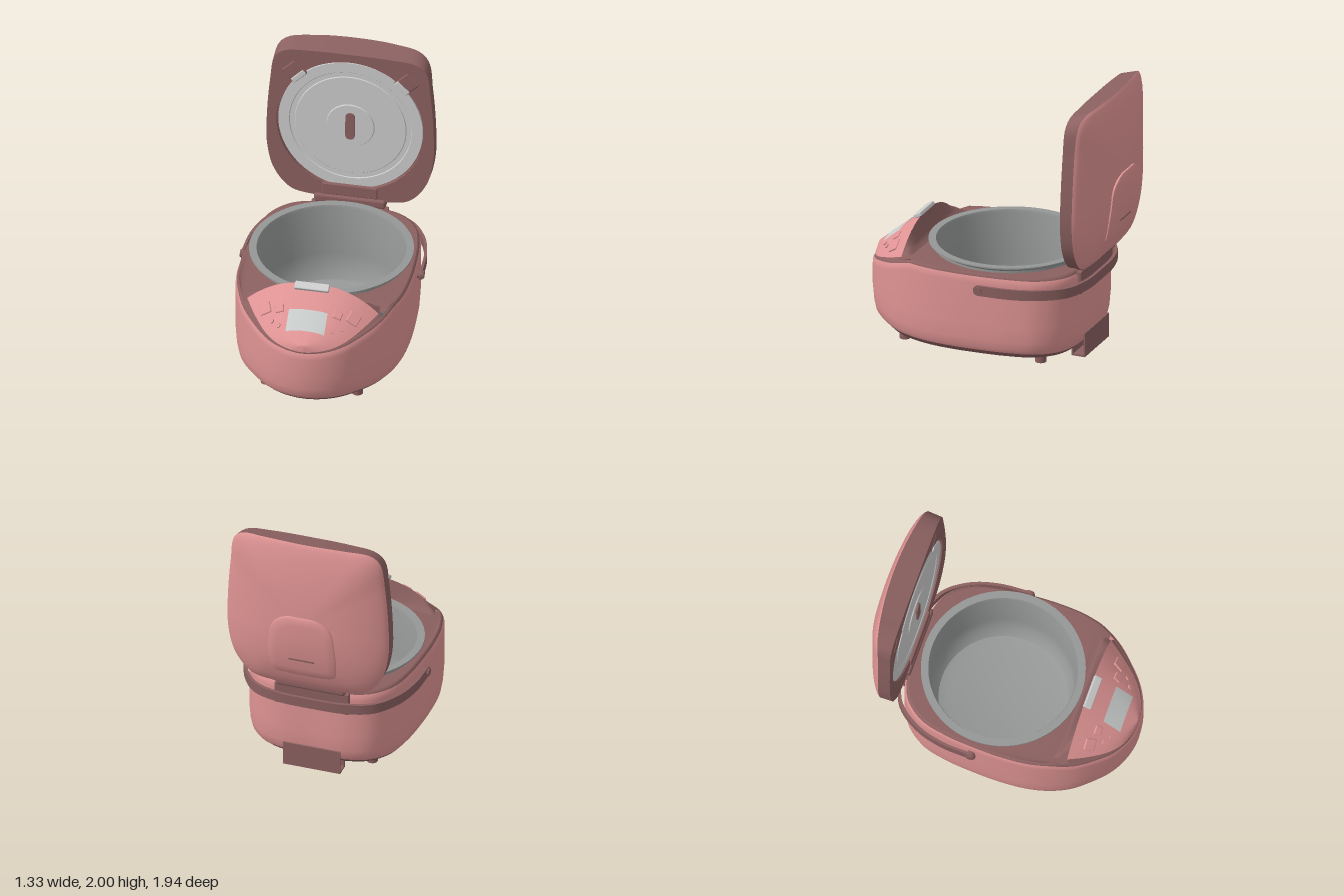
import * as THREE from 'three';
import { toCreasedNormals } from 'three/addons/utils/BufferGeometryUtils.js';
import { RoundedBoxGeometry } from 'three/addons/geometries/RoundedBoxGeometry.js';

const V = (x, y, z) => new THREE.Vector3(x, y, z);
const clamp = THREE.MathUtils.clamp;

function material(name, color) {
  const m = new THREE.MeshStandardMaterial({ color, side: THREE.DoubleSide });
  m.name = name;
  return m;
}

function add(parent, name, geo, mat, x = 0, y = 0, z = 0) {
  const mesh = new THREE.Mesh(geo, mat);
  mesh.name = name;
  mesh.position.set(x, y, z);
  parent.add(mesh);
  return mesh;
}

// Skin between successive rows of points
function loft(rows, closed = false) {
  const n = rows[0].length, index = [];
  const geo = new THREE.BufferGeometry().setFromPoints(rows.flat());
  for (let r = 0; r < rows.length - 1; r++) {
    for (let i = 0; i < (closed ? n : n - 1); i++) {
      const j = (i + 1) % n, a = r * n + i, b = r * n + j;
      index.push(a, b, a + n, b, b + n, a + n);
    }
  }
  geo.setIndex(index);
  geo.computeVertexNormals();
  return geo;
}

// Closed symmetric outline from half of its points, starting on the centre line
function mirrored(half, count) {
  const pts = half.map(([x, y]) => V(x, y, 0));
  const other = half.slice(1, -1).reverse().map(([x, y]) => V(-x, y, 0));
  return new THREE.CatmullRomCurve3([...pts, ...other], true).getSpacedPoints(count).slice(0, count);
}

const N = 120;
const bodyOutline = mirrored([[0, -0.705], [0.25, -0.7], [0.42, -0.64], [0.54, -0.5], [0.595, -0.3], [0.62, -0.05],
  [0.625, 0.15], [0.61, 0.35], [0.565, 0.52], [0.5, 0.65], [0.4, 0.77], [0.28, 0.88], [0.15, 0.945], [0, 0.97]], N);
const topY = z => 0.68 - 0.17 * clamp((z - 0.5) / 0.47, 0, 1);
// Body outline scaled about its middle, at a height given as a rule of z
const bodyRing = (s, height) => bodyOutline.map(p => V(p.x * s, height(p.y), 0.1 + (p.y - 0.1) * s));

// Control panel: edge points run from its back corner to the front tip
const half = bodyOutline.slice(0, N / 2 + 1);
const first = half.findIndex(p => p.y > 0.62);
const panelEdge = half.slice(first).map(p => {
  const f = clamp((0.97 - p.y) / 0.3, 0, 1), s = 0.985 - 0.06 * f;
  return V(p.x * s, topY(p.y) + 0.01 + 0.03 * f, 0.1 + (p.y - 0.1) * s);
});
const panelBack = panelEdge[0].z;
function panelAt(x, z, edge, lift = 0) {
  if (!edge) {
    const i = clamp(panelEdge.findIndex(p => p.z > z), 1, panelEdge.length - 1);
    const a = panelEdge[i - 1], b = panelEdge[i];
    edge = a.clone().lerp(b, (z - a.z) / (b.z - a.z));
  }
  const mid = 0.865 - 0.285 * (z - panelBack) / (0.945 - panelBack);
  const u = edge.x > 0.001 ? Math.min(1, Math.abs(x) / edge.x) : 1;
  return V(x, edge.y + Math.max(0, mid - edge.y) * (1 - u ** 2.4) + lift, z);
}
const span = (n, f) => Array.from({ length: n + 1 }, (_, i) => f(i / n));

// Lid, in its own frame: y up from the hinge, open face at z = 0
const lidOutline = mirrored([[0, 1.215], [0.3, 1.21], [0.48, 1.19], [0.55, 1.13], [0.58, 0.95], [0.605, 0.6],
  [0.6, 0.38], [0.55, 0.185], [0.43, 0.04], [0.27, 0.005], [0, 0]], N);
const lidMid = 0.615;
const lidRim = lidOutline.map(p => {
  const t = THREE.MathUtils.smoothstep(p.y, 0.95, 1.2);
  return V(p.x, p.y + 0.04 * t, -0.09 - 0.08 * t * (1 - (p.x / 0.61) ** 2));
});
const domeBlend = a => Math.max(0, 1 - a * a) ** 0.7;
const domeZ = (x, y) => {
  const w = domeBlend(Math.cbrt(Math.abs(x / 0.6) ** 3 + Math.abs((y - lidMid) / 0.62) ** 3));
  return -0.09 * (1 - w) - 0.255 * w;
};

export function createModel() {
  const model = new THREE.Group();
  model.name = 'riceCooker';
  const pink = material('pink shell', 0xe09494);
  const dark = material('dark rose trim', 0x8b6060);
  const silver = material('light grey', 0xcccccc);
  const steel = material('pot grey', 0x959797);
  const glass = material('display grey', 0xc8cccb);

  // Body shell, base and rim
  const fixed = y => () => y;
  add(model, 'bodyShell', loft([
    bodyRing(0.945, fixed(0.11)), bodyRing(0.97, fixed(0.14)), bodyRing(0.987, fixed(0.2)), bodyRing(1, fixed(0.32)),
    bodyRing(1, z => topY(z) - 0.05), bodyRing(0.997, z => topY(z) - 0.02), bodyRing(0.985, topY)], true), pink);
  add(model, 'base', loft([
    bodyRing(0.945, fixed(0.11)), bodyRing(0.9, fixed(0.075)), bodyRing(0.82, fixed(0.055)),
    bodyRing(0.7, fixed(0.05)), bodyRing(0, fixed(0.05))], true), dark);
  add(model, 'rim', loft([bodyRing(0.985, topY), bodyRing(0.978, z => topY(z) + 0.014),
    bodyRing(0.96, z => topY(z) + 0.02)], true), dark);

  // Deck around the pot
  const deckShape = new THREE.Shape(bodyRing(0.96, fixed(0)).filter(p => p.z < 0.6).map(p => new THREE.Vector2(p.x, -p.z)));
  deckShape.holes.push(new THREE.Path().absarc(0, 0.055, 0.55, 0, Math.PI * 2, true));
  const deck = new THREE.ShapeGeometry(deckShape, 32).rotateX(-Math.PI / 2);
  const dp = deck.attributes.position;
  for (let i = 0; i < dp.count; i++) dp.setY(i, topY(dp.getZ(i)) + 0.02);
  deck.computeVertexNormals();
  add(model, 'deck', deck, dark);

  // Inner pot
  const potProfile = [[0, 0.14], [0.4, 0.14], [0.46, 0.16], [0.5, 0.22], [0.52, 0.35], [0.525, 0.73], [0.532, 0.75],
    [0.585, 0.75], [0.585, 0.74], [0.545, 0.715], [0.545, 0.65]].map(p => new THREE.Vector2(...p));
  add(model, 'innerPot', toCreasedNormals(new THREE.LatheGeometry(potProfile, 72), 0.6), steel, 0, 0, -0.055);

  // Control panel, its skirt and back wall
  const panelRows = panelEdge.map(e => span(32, t => panelAt((2 * t - 1) * e.x, e.z, e)));
  add(model, 'controlPanel', loft(panelRows), pink);
  const outer = bodyRing(0.985, topY).slice(first, N / 2 + 1);
  const flip = p => V(-p.x, p.y, p.z);
  add(model, 'panelSkirtLeft', loft([outer, panelEdge]), dark);
  add(model, 'panelSkirtRight', loft([outer.map(flip), panelEdge.map(flip)]), dark);
  add(model, 'panelBackWall', loft([
    panelRows[0],
    panelRows[0].map(p => V(p.x * 1.02, Math.min(p.y, 0.73), p.z - 0.035)),
    panelRows[0].map(p => V(p.x * 1.04, Math.min(p.y, 0.7), p.z - 0.055)),
    panelRows[0].map(p => V(p.x * 1.06, 0.675, p.z - 0.1))]), dark);

  // Display and buttons follow the panel surface
  add(model, 'display', loft(span(6, v => span(10, u =>
    panelAt(-0.14 + 0.28 * u, 0.745 + 0.125 * v, null, 0.006)))), glass);
  const placeOnPanel = (name, geo, x, z) => {
    const dx = panelAt(x + 0.01, z).sub(panelAt(x - 0.01, z));
    const dz = panelAt(x, z + 0.01).sub(panelAt(x, z - 0.01));
    const p = panelAt(x, z);
    const normal = dz.clone().cross(dx).normalize();
    const mesh = add(model, name, geo, pink, p.x, p.y, p.z);
    dx.normalize();
    mesh.quaternion.setFromRotationMatrix(new THREE.Matrix4().makeBasis(dx, normal, dx.clone().cross(normal)));
  };
  for (const s of [1, -1]) {
    placeOnPanel('largeButton', new RoundedBoxGeometry(0.09, 0.02, 0.085, 2, 0.008), s * 0.32, 0.705);
    placeOnPanel('smallButton', new RoundedBoxGeometry(0.065, 0.02, 0.06, 2, 0.008), s * 0.21, 0.73);
    placeOnPanel('roundButton', new THREE.CylinderGeometry(0.017, 0.018, 0.02, 20), s * 0.2, 0.825);
    placeOnPanel('roundButton', new THREE.CylinderGeometry(0.017, 0.018, 0.02, 20), s * 0.255, 0.79);
  }
  const latch = add(model, 'latch', new RoundedBoxGeometry(0.25, 0.03, 0.06, 2, 0.008), silver, 0, 0.855, 0.615);
  latch.rotation.x = 0.5;

  // Lid
  const lid = new THREE.Group();
  lid.name = 'lid';
  lid.position.set(0, 0.745, -0.685);
  lid.rotation.x = -0.02;
  model.add(lid);
  const face = new THREE.Shape(lidOutline.map(p => new THREE.Vector2(p.x, p.y)));
  face.holes.push(new THREE.Path().absarc(0, lidMid, 0.535, 0, Math.PI * 2, true));
  add(lid, 'lidFace', new THREE.ShapeGeometry(face, 40), dark);
  add(lid, 'lidEdge', loft([lidOutline, lidRim], true), dark);
  add(lid, 'lidDome', loft([1, 0.985, 0.96, 0.92, 0.86, 0.78, 0.68, 0.55, 0.4, 0.2, 0].map(a => lidRim.map(p => {
    const w = domeBlend(a);
    return V(p.x * a, lidMid + (p.y - lidMid) * a, p.z * (1 - w) - 0.255 * w);
  })), true), pink);
  const recess = [[0.535, 0.03], [0.535, 0], [0, 0]].map(p => new THREE.Vector2(...p));
  add(lid, 'lidRecess', toCreasedNormals(new THREE.LatheGeometry(recess, 72).rotateX(Math.PI / 2), 0.6), dark, 0, lidMid, -0.03);

  // Inner lid plate with stepped rings
  const plate = [[0.523, 0], [0.523, 0.018], [0.445, 0.018], [0.44, 0.012], [0.405, 0.012], [0.4, 0.018],
    [0.175, 0.018], [0.17, 0.026], [0, 0.026]].map(p => new THREE.Vector2(...p));
  add(lid, 'innerPlate', toCreasedNormals(new THREE.LatheGeometry(plate, 72).rotateX(Math.PI / 2), 0.4), silver, 0, lidMid, -0.028);
  const slot = new THREE.Shape();
  slot.absarc(0, 0.075, 0.034, 0, Math.PI, false);
  slot.absarc(0, -0.075, 0.034, Math.PI, Math.PI * 2, false);
  add(lid, 'steamValve', new THREE.ExtrudeGeometry(slot, { depth: 0.016, bevelEnabled: false }), dark, 0, lidMid, -0.006);
  add(lid, 'plateMount', new RoundedBoxGeometry(0.4, 0.09, 0.04, 2, 0.008), dark, 0, 0.07, -0.006);
  for (const s of [1, -1]) {
    const tab = new THREE.Group();
    tab.name = 'plateCatch';
    tab.position.set(0, lidMid, 0);
    tab.rotation.z = -s * Math.PI / 4;
    add(tab, 'catchHousing', new RoundedBoxGeometry(0.13, 0.14, 0.03, 2, 0.012), dark, 0, 0.575, -0.008);
    add(tab, 'catchClip', new RoundedBoxGeometry(0.12, 0.04, 0.03, 2, 0.006), silver, 0, 0.53, 0);
    lid.add(tab);
  }

  // Steam vent cover on the back of the lid
  const cover = mirrored([[0, 0.685], [0.12, 0.675], [0.215, 0.6], [0.245, 0.45], [0.25, 0.28], [0.23, 0.185],
    [0.12, 0.167], [0, 0.165]], 64);
  add(lid, 'ventCover', toCreasedNormals(loft([[1, 0.02], [1, -0.012], [0.96, -0.018], [0.75, -0.018], [0.5, -0.018],
    [0.25, -0.018], [0, -0.018]].map(([s, lift]) => cover.map(p => {
    const x = p.x * s, y = 0.425 + (p.y - 0.425) * s;
    return V(x, y, domeZ(x, y) + lift);
  })), true), 0.6), pink);
  add(lid, 'ventSlot', new THREE.BoxGeometry(0.19, 0.012, 0.014), dark, 0, 0.32, domeZ(0, 0.32) - 0.016);

  // Hinge
  add(model, 'hinge', new RoundedBoxGeometry(0.52, 0.07, 0.09, 3, 0.02), dark, 0, 0.73, -0.71);
  add(model, 'hingeCover', new RoundedBoxGeometry(0.56, 0.17, 0.04, 2, 0.01), dark, 0, 0.61, -0.7);

  // Carrying handle
  const arc = new THREE.CatmullRomCurve3([[0.645, -0.08], [0.63, -0.3], [0.57, -0.5], [0.44, -0.67], [0.25, -0.738],
    [0, -0.75], [-0.25, -0.738], [-0.44, -0.67], [-0.57, -0.5], [-0.63, -0.3], [-0.645, -0.08]].map(([x, z]) => V(x, -z, 0))).getPoints(60);
  const bar = new THREE.Shape([...arc.map(p => new THREE.Vector2(p.x * 1.015, p.y * 1.015)),
    ...arc.slice().reverse().map(p => new THREE.Vector2(p.x * 0.985, p.y * 0.985))]);
  add(model, 'handle', toCreasedNormals(new THREE.ExtrudeGeometry(bar, { depth: 0.075, bevelEnabled: false })
    .rotateX(-Math.PI / 2), 0.5), dark, 0, 0.552, 0);
  for (const s of [1, -1]) {
    add(model, 'handleEnd', new THREE.CylinderGeometry(0.0375, 0.0375, 0.02, 28).rotateZ(Math.PI / 2), dark, s * 0.645, 0.5895, -0.08);
    add(model, 'handlePivot', new THREE.CylinderGeometry(0.028, 0.028, 0.06, 24).rotateZ(Math.PI / 2), dark, s * 0.635, 0.5895, -0.08);
    // Feet
    for (const [x, z] of [[0.33, 0.62], [0.36, -0.44]]) {
      add(model, 'foot', new THREE.CylinderGeometry(0.04, 0.04, 0.08, 24), dark, s * x, 0.04, z);
    }
  }

  // Drip tray behind the base
  add(model, 'trayBack', new THREE.BoxGeometry(0.43, 0.18, 0.012), dark, 0, 0.11, -0.712);
  add(model, 'trayFloor', new THREE.BoxGeometry(0.43, 0.014, 0.1), dark, 0, 0.027, -0.667);
  add(model, 'trayFront', new THREE.BoxGeometry(0.43, 0.1, 0.012), dark, 0, 0.07, -0.622);
  return model;
}
